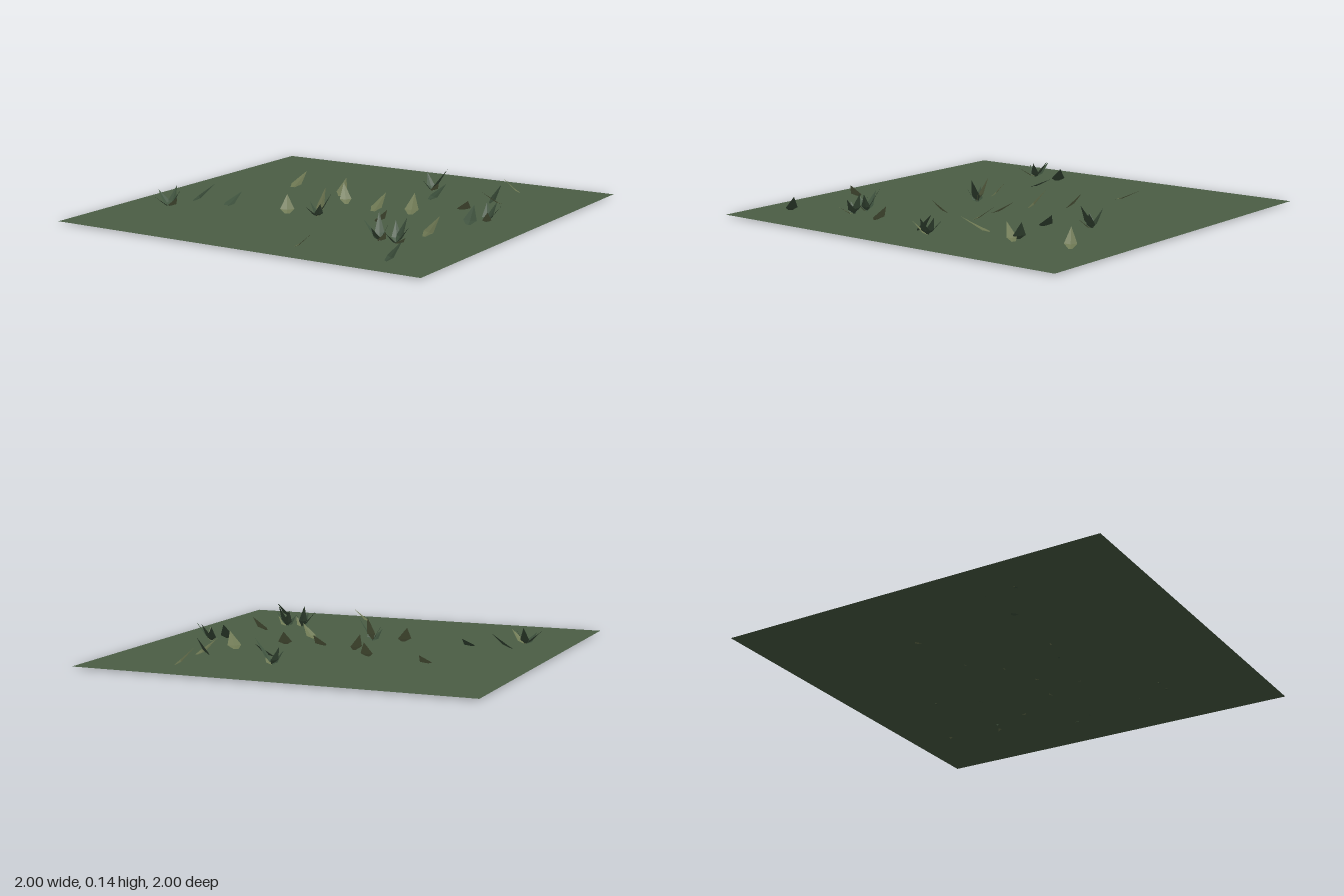
import * as THREE from 'three';

const material = (name, color) => {
  const m = new THREE.MeshStandardMaterial({ color, side: THREE.DoubleSide, flatShading: true });
  m.name = name;
  return m;
};

// Folded diamond blade: root in the soil, widest low down, keel along the middle, pointed tip
function bladeGeometry(root, tip, width) {
  const a = new THREE.Vector3(...root), d = new THREE.Vector3(...tip);
  const along = d.clone().sub(a);
  const side = new THREE.Vector3(-along.z, 0, along.x).normalize().multiplyScalar(width / 2);
  const belly = a.clone().lerp(d, 0.38);
  const left = belly.clone().add(side), right = belly.clone().sub(side);
  belly.y -= 0.012;
  belly.y = Math.max(belly.y, 0.011);
  left.y = right.y = Math.max(belly.y + 0.004, 0.014);
  const corners = [a, left, belly, a, belly, right, left, d, belly, belly, d, right];
  const g = new THREE.BufferGeometry().setFromPoints(corners);
  g.computeVertexNormals();
  return g;
}

export function createModel() {
  const model = new THREE.Group();
  const soil = material('meadow green', 0x4b5e45);
  const green = material('dark leaf green', 0x40543f);
  const olive = material('olive leaf', 0x6d7752);

  // Flat ground sheet
  const ground = new THREE.Mesh(new THREE.PlaneGeometry(2, 2).rotateX(-Math.PI / 2), soil);
  ground.name = 'ground';
  ground.position.y = 0.008;
  model.add(ground);

  const addBlade = (parent, name, root, tip, width, mat) => {
    const blade = new THREE.Mesh(bladeGeometry(root, tip, width), mat);
    blade.name = name;
    parent.add(blade);
  };

  // Single leaves: root x, root z, tip x, tip z, tip height, width
  const leaves = new THREE.Group();
  leaves.name = 'singleLeaves';
  const oliveLeaves = [
    [0.59, -0.78, 0.50, -0.72, 0.09, 0.06],
    [-0.50, -0.24, -0.51, -0.42, 0.07, 0.06],
    [-0.165, -0.195, -0.18, -0.29, 0.09, 0.06],
    [-0.03, -0.055, -0.095, -0.13, 0.10, 0.06],
    [0.16, 0.03, 0.155, -0.13, 0.08, 0.06],
    [0.36, -0.01, 0.31, -0.145, 0.09, 0.07],
    [0.50, -0.28, 0.60, -0.16, 0.08, 0.07],
    [-0.16, 0.285, -0.21, 0.21, 0.09, 0.07],
    [0.28, 0.18, 0.37, 0.22, 0.08, 0.06],
    [0.635, 0.355, 0.67, 0.245, 0.09, 0.065],
    [0.23, 0.83, 0.33, 0.80, 0.08, 0.06],
    [0.63, -0.50, 0.55, -0.39, 0.08, 0.05],
  ];
  const greenLeaves = [
    [0.25, -0.365, 0.31, -0.47, 0.08, 0.07],
    [0.555, -0.46, 0.60, -0.515, 0.10, 0.06],
    [0.70, 0.03, 0.69, -0.055, 0.09, 0.07],
    [-0.75, 0.29, -0.66, 0.20, 0.09, 0.07],
    [-0.53, 0.32, -0.52, 0.16, 0.06, 0.06],
    [0.72, 0.84, 0.77, 0.76, 0.09, 0.06],
  ];
  for (const [list, mat] of [[oliveLeaves, olive], [greenLeaves, green]]) {
    for (const [rx, rz, tx, tz, h, w] of list) addBlade(leaves, 'leaf', [rx, 0, rz], [tx, h, tz], w, mat);
  }
  model.add(leaves);

  // Tufts: centre x and z, then blade tips as x, z, height; the last tip is olive
  const tufts = [
    [0.16, -0.59, [[0.11, -0.62, 0.10], [0.25, -0.59, 0.13], [0.21, -0.61, 0.09], [0.12, -0.55, 0.07], [0.22, -0.55, 0.06]]],
    [0.745, -0.08, [[0.71, -0.15, 0.09], [0.82, -0.10, 0.10], [0.77, -0.14, 0.10], [0.78, -0.02, 0.07]]],
    [-0.76, 0.44, [[-0.85, 0.42, 0.08], [-0.77, 0.37, 0.10], [-0.71, 0.42, 0.09], [-0.80, 0.51, 0.06], [-0.67, 0.50, 0.07]]],
    [-0.01, 0.24, [[0.06, 0.22, 0.13], [-0.05, 0.25, 0.08], [-0.04, 0.30, 0.06], [0.03, 0.28, 0.08], [-0.01, 0.17, 0.14]]],
    [0.51, 0.52, [[0.47, 0.46, 0.13], [0.43, 0.53, 0.10], [0.50, 0.58, 0.08], [0.55, 0.50, 0.10], [0.56, 0.55, 0.06]]],
    [0.60, 0.52, [[0.56, 0.46, 0.10], [0.62, 0.46, 0.12], [0.66, 0.51, 0.09], [0.57, 0.57, 0.06], [0.67, 0.56, 0.05]]],
  ];
  for (const [cx, cz, tips] of tufts) {
    const tuft = new THREE.Group();
    tuft.name = 'grassTuft';
    tips.forEach(([x, z, h], i) => {
      const root = [cx + (cx - x) * 0.15, 0.004, cz + (cz - z) * 0.15];
      addBlade(tuft, 'blade', root, [x, h, z], 0.045, i === tips.length - 1 ? olive : green);
    });
    model.add(tuft);
  }
  return model;
}
